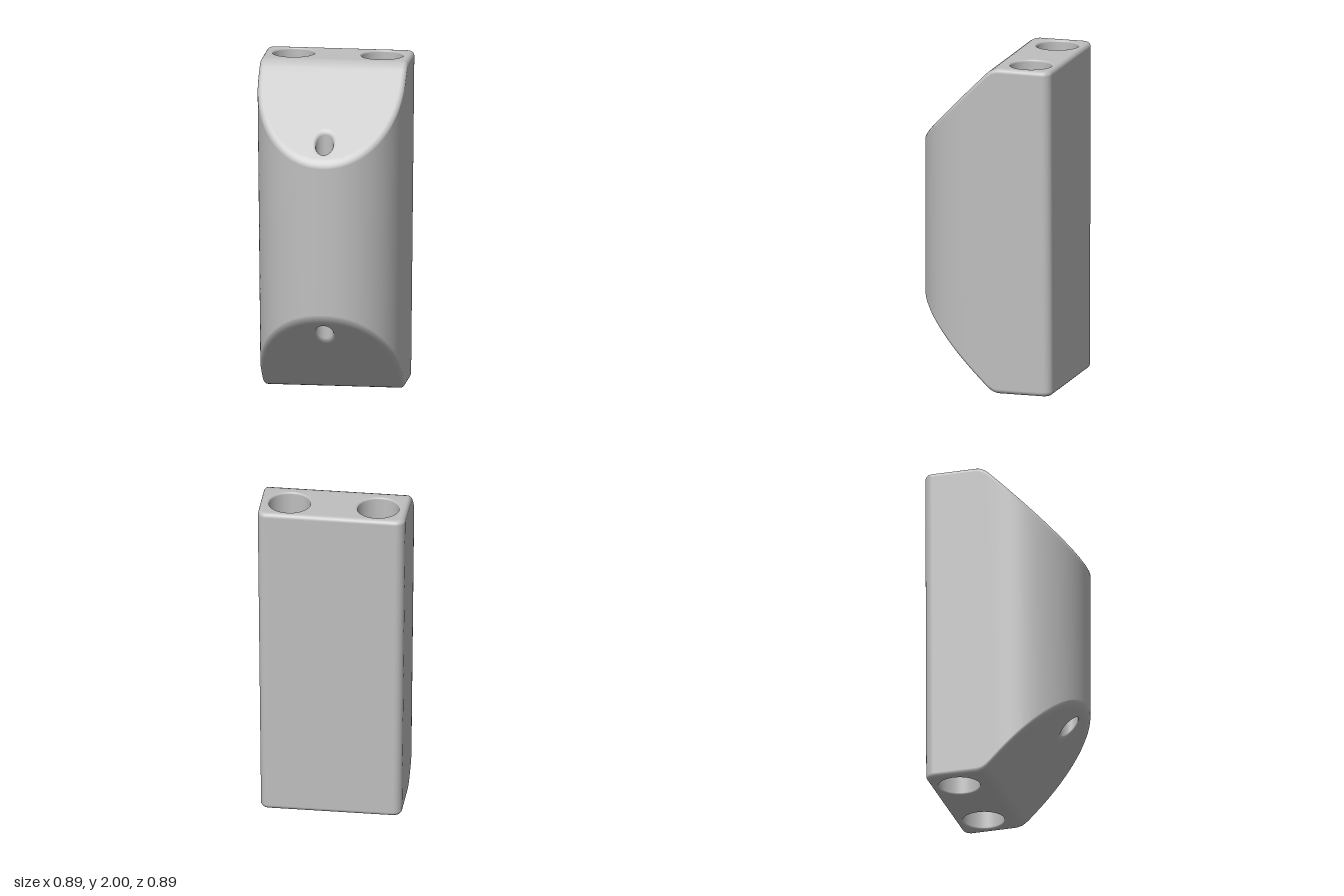
import * as THREE from 'three';
import { mergeVertices } from 'three/addons/utils/BufferGeometryUtils.js';

const HALF = 0.445;       // half width and half depth
const CREASE_Z = -0.08;   // where the flat end turns into the 45 degree slope
const SOFT = 0.04;        // half length of the rounding at that crease
const EDGE = 0.028;       // rounding of the outer edges
const ROWS = [-1, -0.5, 0, 0.5, 1].map((k) => CREASE_Z + SOFT * k);

// Height of the upper face at depth z: flat, soft crease, slope
function topHeight(z) {
  const t = z - CREASE_Z;
  if (t <= -SOFT) return 2;
  return t >= SOFT ? 2 - t : 2 - (t + SOFT) ** 2 / (4 * SOFT);
}

// D-shaped outline (Vector2 holds x and z), running from +x over the front
function outline() {
  const pts = [];
  const add = (x, z) => pts.push(new THREE.Vector2(x, z));
  const bulge = (v) => HALF * Math.sign(v) * Math.abs(v) ** (2 / 2.1);
  for (let i = 0; i <= 64; i++) {
    const a = (i / 64) * Math.PI;
    add(bulge(Math.cos(a)), i % 64 ? bulge(Math.sin(a)) : 0);
  }
  [...ROWS].reverse().forEach((z) => add(-HALF, z));
  const r = 0.055, c = HALF - r;
  for (const side of [-1, 1]) {
    for (let i = 0; i <= 8; i++) {
      const a = (side < 0 ? Math.PI : Math.PI * 1.5) + (i / 8) * Math.PI / 2;
      add(side * c + r * Math.cos(a), -c + r * Math.sin(a));
    }
  }
  ROWS.forEach((z) => add(HALF, z));
  return pts;
}

// Circle running the other way, so that its wall faces inward
function circle(x, z, r, n = 40) {
  return Array.from({ length: n }, (_, i) => {
    const a = (-i / n) * Math.PI * 2;
    return new THREE.Vector2(x + r * Math.cos(a), z + r * Math.sin(a));
  });
}

// Moves a loop toward the solid side by d
function inset(pts, d) {
  const n = pts.length;
  return pts.map((p, i) => {
    const t = pts[(i + 1) % n].clone().sub(pts[(i + n - 1) % n]).normalize();
    return new THREE.Vector2(p.x - t.y * d, p.y + t.x * d);
  });
}

function blockGeometry() {
  const pos = [];
  const tri = (...corners) => corners.forEach((v) => pos.push(v.x, v.y, v.z));

  // Wall with rounded rims; returns the loop that bounds the end faces
  function wall(loop, radius) {
    const upper = [], lower = [];
    const steps = 5;
    for (let k = 0; k <= steps; k++) {
      const a = (k / steps) * Math.PI / 2;
      const drop = radius * (1 - Math.sin(a));
      const ring = inset(loop, radius * (1 - Math.cos(a)));
      upper.push(ring.map((p) => new THREE.Vector3(p.x, topHeight(p.y) - drop, p.y)));
      lower.unshift(ring.map((p) => new THREE.Vector3(p.x, 2 - topHeight(p.y) + drop, p.y)));
    }
    const rings = [...lower, ...upper];
    for (let j = 0; j + 1 < rings.length; j++) {
      for (let i = 0; i < loop.length; i++) {
        const m = (i + 1) % loop.length;
        tri(rings[j][i], rings[j + 1][i], rings[j + 1][m]);
        tri(rings[j][i], rings[j + 1][m], rings[j][m]);
      }
    }
    return inset(loop, radius);
  }

  // Matching upper and lower end faces
  function caps(loop, holes) {
    const all = [loop, ...holes].flat();
    for (const face of THREE.ShapeUtils.triangulateShape(loop, holes)) {
      let [a, b, c] = face.map((i) => all[i]);
      const up = (b.y - a.y) * (c.x - a.x) - (b.x - a.x) * (c.y - a.y);
      if (up < 0) [b, c] = [c, b];
      const top = (p) => new THREE.Vector3(p.x, topHeight(p.y), p.y);
      const bottom = (p) => new THREE.Vector3(p.x, 2 - topHeight(p.y), p.y);
      tri(top(a), top(b), top(c));
      tri(bottom(a), bottom(c), bottom(b));
    }
  }

  // Outer shell, two large bores at the back, one small bore at the front
  const rim = wall(outline(), EDGE);
  const backHoles = [-0.267, 0.267].map((x) => wall(circle(x, -0.276, 0.125), 0.012));
  const frontHole = wall(circle(0, 0.333, 0.054, 32), 0.018);

  // End faces, cut into strips along the crease
  const cuts = [-1, ...ROWS, 1];
  for (let i = 0; i + 1 < cuts.length; i++) {
    const strip = rim.filter((p) => p.y > cuts[i] - 1e-6 && p.y < cuts[i + 1] + 1e-6);
    const holes = i === 0 ? backHoles : i === cuts.length - 2 ? [frontHole] : [];
    caps(strip, holes);
  }

  // Slight narrowing toward the bottom
  for (let i = 0; i < pos.length; i += 3) pos[i] *= 0.955 + 0.0225 * pos[i + 1];

  let geometry = new THREE.BufferGeometry();
  geometry.setAttribute('position', new THREE.Float32BufferAttribute(pos, 3));
  geometry = mergeVertices(geometry, 1e-5);
  geometry.computeVertexNormals();
  return geometry;
}

export function createModel() {
  const grey = new THREE.MeshStandardMaterial({ color: 0xbfbfbf });
  grey.name = 'light grey';
  const block = new THREE.Mesh(blockGeometry(), grey);
  block.name = 'drilledBlock';
  const group = new THREE.Group();
  group.name = 'bracketBlock';
  group.add(block);
  return group;
}
